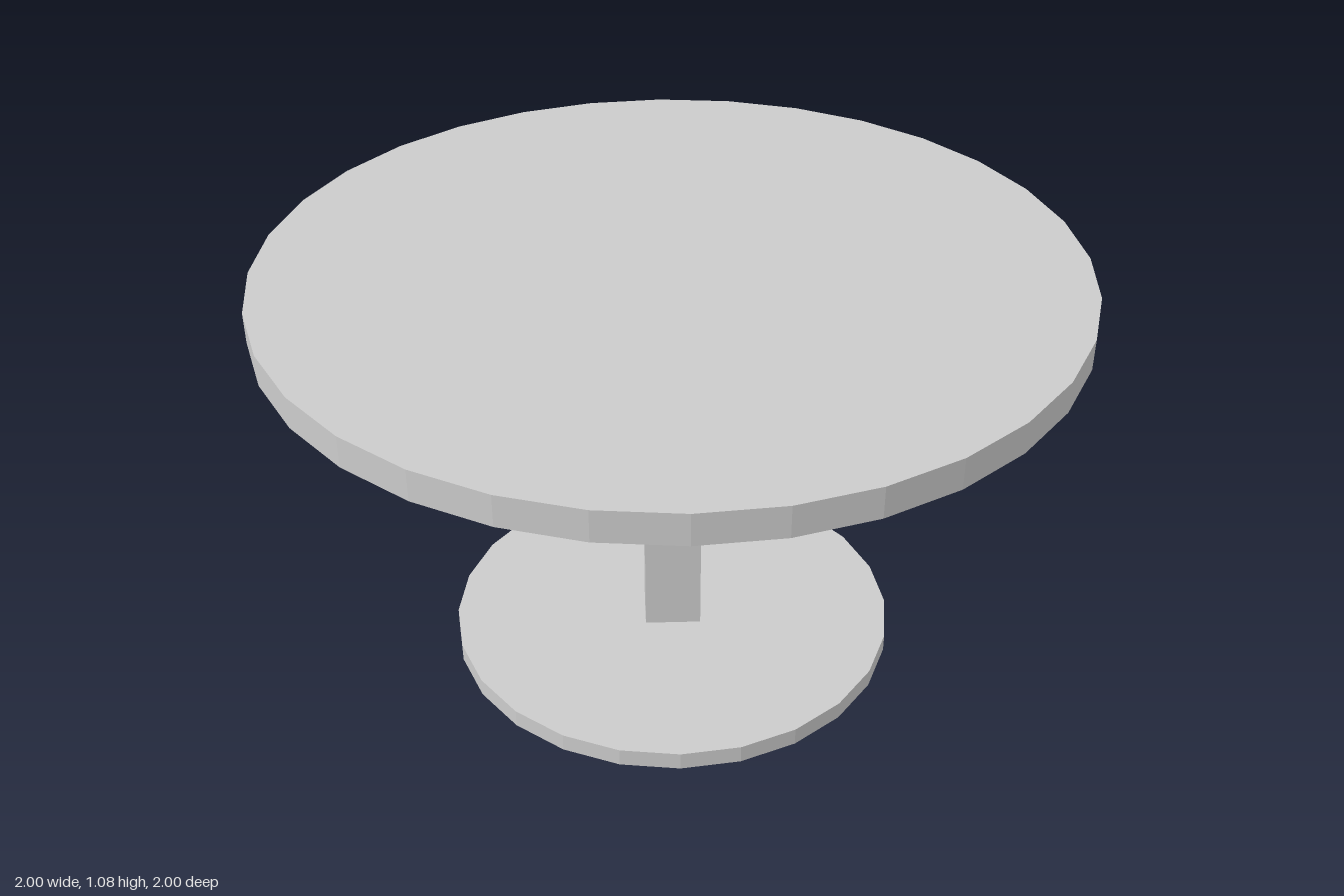
import * as THREE from 'three';

export function createModel() {
  const group = new THREE.Group();
  const material = new THREE.MeshStandardMaterial({ color: 0xcccccc, flatShading: true });

  // Adds a mesh spanning the heights bottom..top
  const add = (name, geometry, bottom, top) => {
    const mesh = new THREE.Mesh(geometry, material);
    mesh.name = name;
    mesh.position.y = (bottom + top) / 2;
    group.add(mesh);
  };
  const disc = (name, radius, bottom, top, sides) =>
    add(name, new THREE.CylinderGeometry(radius, radius, top - bottom, sides), bottom, top);

  // Round foot, square post and round top
  disc('base', 0.575, 0, 0.047, 24);
  add('post', new THREE.BoxGeometry(0.145, 0.958, 0.145), 0.046, 1.004);
  disc('tableTop', 1, 1.003, 1.08, 32);

  return group;
}
